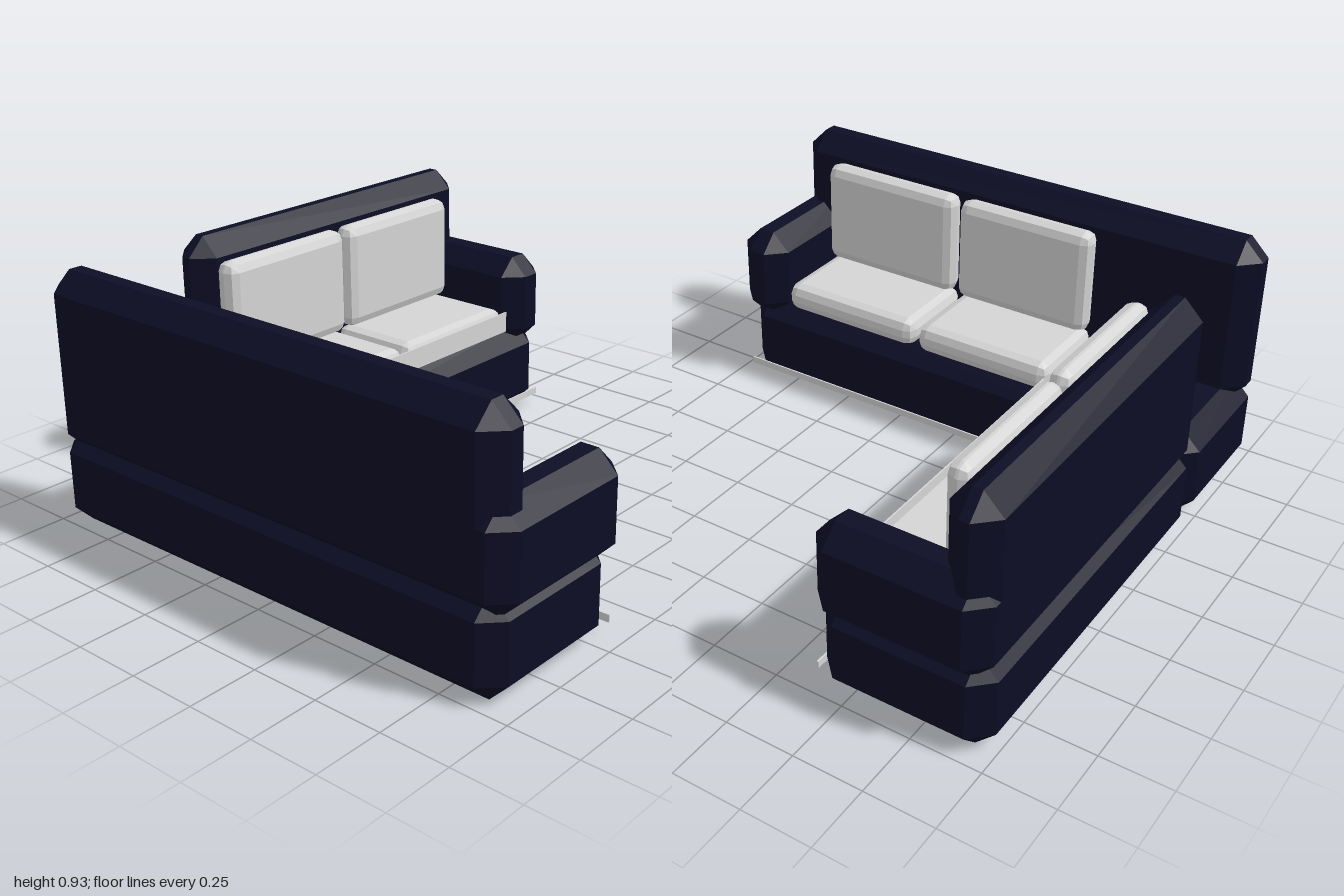
import * as THREE from 'three';
import { ConvexGeometry } from 'three/addons/geometries/ConvexGeometry.js';

// Box between two corners with bevelled edges: a single chamfer, or a rounder two-step bevel
function bevelBox(min, max, r, round) {
  const dirs = [[1, 0, 0], [0, 1, 0], [0, 0, 1]];
  if (round) dirs.push([1, 1, 0], [1, 0, 1], [0, 1, 1], [1, 1, 1]);
  const lo = new THREE.Vector3(...min), hi = new THREE.Vector3(...max);
  const centre = lo.clone().add(hi).multiplyScalar(0.5);
  const half = hi.clone().sub(lo).multiplyScalar(0.5);
  const points = [];
  for (const sx of [-1, 1]) for (const sy of [-1, 1]) for (const sz of [-1, 1]) {
    const sign = new THREE.Vector3(sx, sy, sz);
    for (const d of dirs) {
      const p = new THREE.Vector3(...d).normalize().multiplyScalar(r);
      points.push(p.add(half).subScalar(r).multiply(sign));
    }
  }
  const geometry = new ConvexGeometry(points);
  geometry.translate(centre.x, centre.y, centre.z);
  return geometry;
}

export function createModel() {
  const group = new THREE.Group();
  const navy = new THREE.MeshStandardMaterial({ color: 0x0d0d26 });
  navy.name = 'navyUpholstery';
  const pale = new THREE.MeshStandardMaterial({ color: 0xd4d4d4 });
  pale.name = 'paleFabric';

  const add = (name, geometry, material) => {
    const mesh = new THREE.Mesh(geometry, material);
    mesh.name = name;
    group.add(mesh);
  };
  const frame = (name, min, max) => add(name, bevelBox(min, max, 0.07, false), navy);
  const cushion = (name, min, max) => add(name, bevelBox(min, max, 0.04, true), pale);
  const strip = (name, min, max) => {
    const g = new THREE.BoxGeometry(max[0] - min[0], max[1] - min[1], max[2] - min[2]);
    g.translate((min[0] + max[0]) / 2, (min[1] + max[1]) / 2, (min[2] + max[2]) / 2);
    add(name, g, pale);
  };

  // Side wing, running front to back
  frame('sideBase', [-1, 0, -0.99], [-0.42, 0.35, 0.95]);
  frame('sideBackrest', [-1, 0.28, -0.99], [-0.81, 0.925, 0.95]);
  frame('sideArmrest', [-1, 0.28, 0.78], [-0.4, 0.64, 0.985]);

  // Rear wing, running left to right
  frame('rearBase', [-0.45, 0, -0.99], [0.975, 0.345, -0.38]);
  frame('rearBackrest', [-0.45, 0.28, -0.985], [0.975, 0.924, -0.81]);
  frame('rearArmrest', [0.79, 0.28, -0.985], [1, 0.64, -0.37]);

  // Seat and back cushions, two per wing
  for (const [z0, z1] of [[-0.4, 0.16], [0.18, 0.765]]) {
    cushion('sideSeatCushion', [-0.805, 0.34, z0], [-0.435, 0.45, z1]);
    cushion('sideBackCushion', [-0.805, 0.45, z0], [-0.715, 0.857, z1]);
  }
  for (const [x0, x1] of [[-0.41, 0.175], [0.195, 0.775]]) {
    cushion('rearSeatCushion', [x0, 0.34, -0.795], [x1, 0.45, -0.415]);
    cushion('rearBackCushion', [x0, 0.45, -0.795], [x1, 0.857, -0.705]);
  }

  // Thin panel along the rear seat front, and trim along both bases
  strip('rearSeatPanel', [-0.4, 0.35, -0.414], [0.785, 0.432, -0.408]);
  strip('rearTrim', [-0.42, 0.043, -0.371], [0.94, 0.07, -0.365]);
  strip('sideTrim', [-0.42, 0.043, -0.371], [-0.414, 0.07, 0.94]);

  return group;
}
